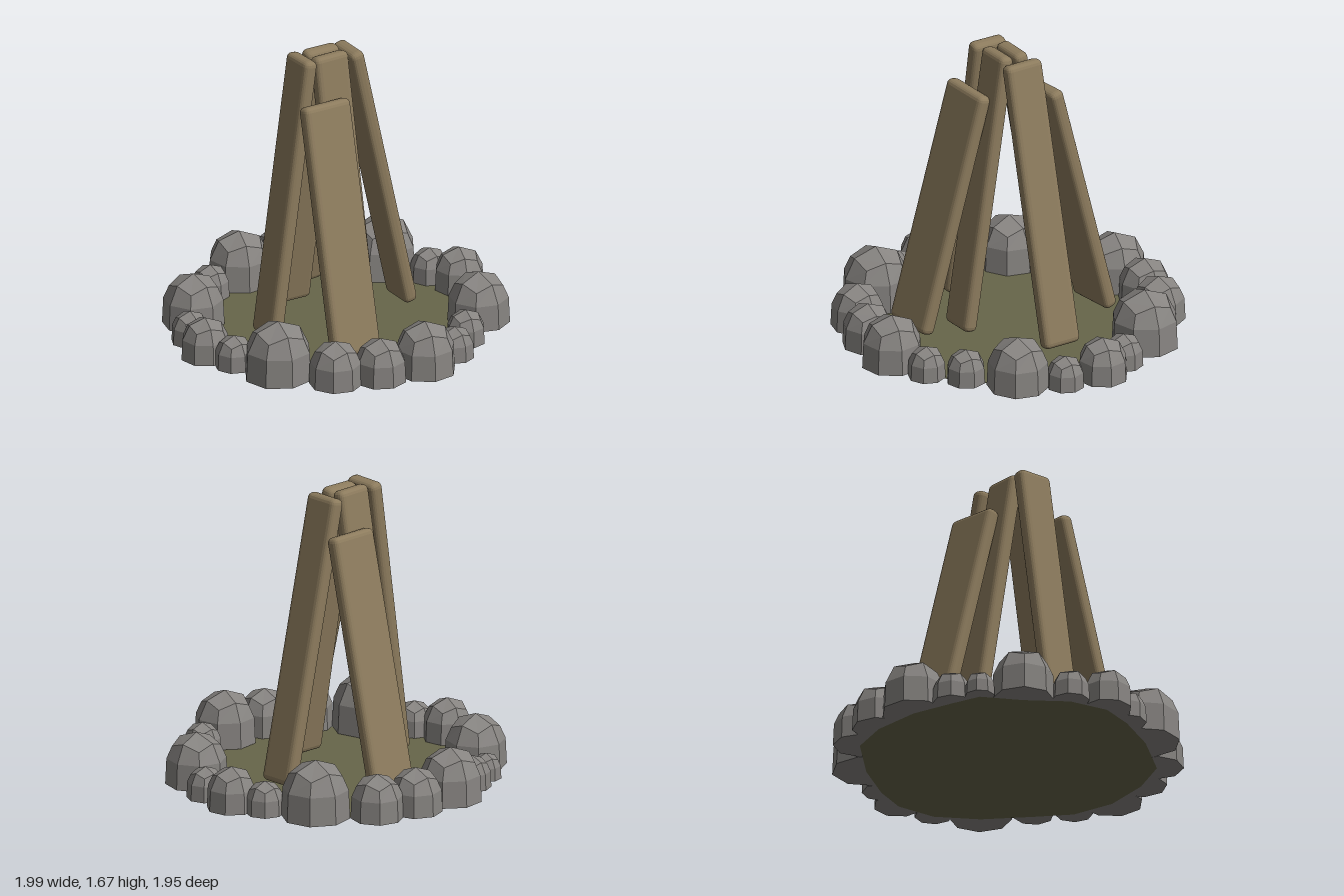
import * as THREE from 'three';
import { RoundedBoxGeometry } from 'three/addons/geometries/RoundedBoxGeometry.js';

const mat = (color, extra = {}) => new THREE.MeshStandardMaterial({ color, flatShading: true, ...extra });
const wood = mat(0x8c7b5d), rock = mat(0x878481), earth = mat(0x67664a, { side: THREE.DoubleSide });

// Stones of the ring: x, z, radius
const STONES = [
  [-0.17, -0.80, 0.18], [0.11, -0.83, 0.15], [0.35, -0.78, 0.15], [0.6, -0.545, 0.195], [0.77, -0.31, 0.11],
  [0.855, -0.125, 0.143], [0.845, 0.11, 0.107], [0.715, 0.34, 0.175], [0.51, 0.555, 0.112], [0.35, 0.715, 0.107],
  [0.11, 0.80, 0.175], [-0.17, 0.79, 0.147], [-0.415, 0.715, 0.15], [-0.64, 0.465, 0.195], [-0.785, 0.225, 0.11],
  [-0.86, 0.03, 0.14], [-0.825, -0.2, 0.108], [-0.68, -0.42, 0.175], [-0.57, -0.64, 0.085], [-0.405, -0.71, 0.108],
];

// Planks: name, bottom centre, top centre, width, direction of the width
const PLANKS = [
  ['frontPlank', [-0.17, 0.05, 0.51], [-0.16, 1.435, 0.14], 0.32, [1, 0, -0.15]],
  ['backPlank', [0.05, 0.05, -0.55], [0.05, 1.46, -0.195], 0.32, [1, 0, -0.13]],
  ['leftPlank', [0.465, 0.05, -0.08], [0.095, 1.65, -0.045], 0.23, [-0.03, 0, -1]],
  ['rightPlank', [-0.46, 0.05, 0.025], [-0.215, 1.67, -0.01], 0.22, [0.05, 0, 1]],
  ['innerFrontPlank', [-0.02, 0.05, 0.28], [-0.06, 1.665, 0.015], 0.22, [1, 0, -0.06]],
  ['innerBackPlank', [-0.09, 0.05, -0.36], [-0.06, 1.67, -0.07], 0.22, [1, 0, -0.06]],
];

// Faceted dome with a flat base, made from a 2 x 2 x 2 segment box
function stoneGeometry() {
  const g = new THREE.BoxGeometry(2, 2, 2, 2, 2, 2).toNonIndexed();
  const p = g.attributes.position;
  for (let i = 0; i < p.count; i++) {
    const x = p.getX(i), y = p.getY(i), z = p.getZ(i);
    const len = Math.hypot(x, z);
    const corner = len > 1.2;
    let r = 0.96, h = 0.5;
    if (y < -0.5) [r, h] = [1, 0];
    else if (y > 0.5) [r, h] = len < 0.1 ? [0, 1] : corner ? [0.78, 0.74] : [0.67, 0.85];
    const s = len < 0.1 ? 0 : r / len;
    p.setXYZ(i, x * s, h, z * s);
  }
  g.computeVertexNormals();
  return g;
}

// Rounded board whose long axis runs from a to b
function plank(name, a, b, width, across) {
  const from = new THREE.Vector3(...a), to = new THREE.Vector3(...b);
  const axis = to.clone().sub(from);
  const length = axis.length();
  axis.normalize();
  const side = new THREE.Vector3(...across);
  side.addScaledVector(axis, -side.dot(axis)).normalize();
  const normal = side.clone().cross(axis);
  const mesh = new THREE.Mesh(new RoundedBoxGeometry(width, length, 0.085, 2, 0.032), wood);
  mesh.name = name;
  mesh.quaternion.setFromRotationMatrix(new THREE.Matrix4().makeBasis(side, axis, normal));
  mesh.position.copy(from).add(to).multiplyScalar(0.5);
  return mesh;
}

export function createModel() {
  const group = new THREE.Group();
  group.name = 'campfire';

  // Patch of earth, reaching the middle of each stone
  const outline = new THREE.Shape(STONES.map(([x, z]) => new THREE.Vector2(x, -z)));
  const ground = new THREE.Mesh(new THREE.ShapeGeometry(outline), earth);
  ground.name = 'ground';
  ground.rotation.x = -Math.PI / 2;
  group.add(ground);

  // Ring of stones
  const ring = new THREE.Group();
  ring.name = 'stoneRing';
  const geometry = stoneGeometry();
  STONES.forEach(([x, z, r], i) => {
    const stone = new THREE.Mesh(geometry, rock);
    stone.name = 'stone';
    stone.position.set(x, 0.003, z);
    stone.scale.set(r, r * 1.7, r);
    stone.rotation.y = (((i * 7) % 5) - 2) * 0.09;
    ring.add(stone);
  });
  group.add(ring);

  // Leaning firewood
  const pile = new THREE.Group();
  pile.name = 'firewood';
  PLANKS.forEach((p) => pile.add(plank(...p)));
  group.add(pile);

  return group;
}
